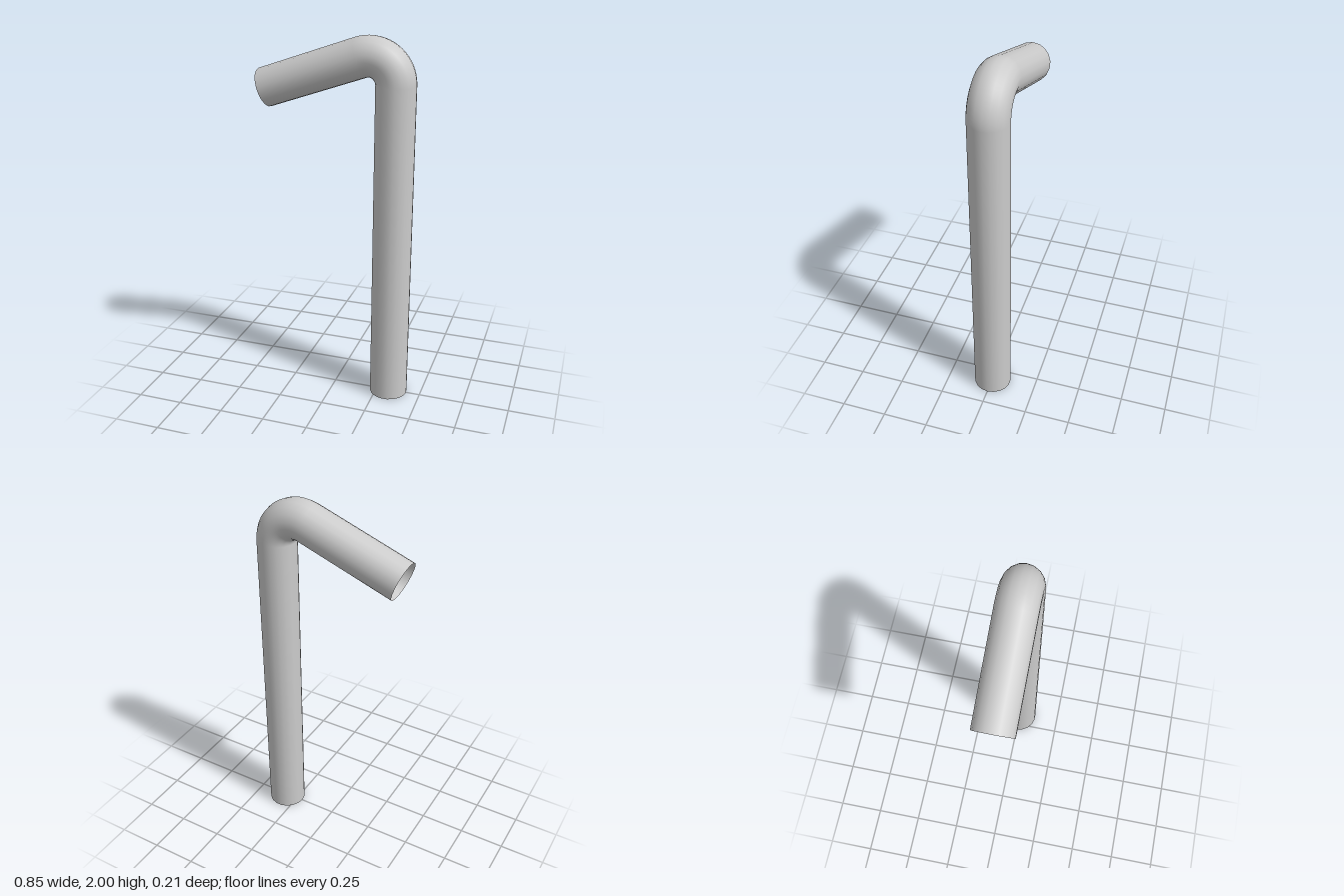
import * as THREE from 'three';

const RADIUS = 0.105; // pipe radius
const SIDES = 18;
const BEND = 0.138; // centre-line radius of the elbow
const CENTRE = new THREE.Vector2(0.18, 1.757); // centre of the elbow
const SLOPE = THREE.MathUtils.degToRad(19.3); // fall of the arm from level
const ARM_LENGTH = 0.558;

export function createModel() {
  const group = new THREE.Group();
  group.name = 'bentPipe';
  const material = new THREE.MeshStandardMaterial({ color: 0xcccccc, side: THREE.DoubleSide });

  const add = (name, geometry, x, y, turn = 0) => {
    const mesh = new THREE.Mesh(geometry, material);
    mesh.name = name;
    mesh.position.set(x, y, 0);
    mesh.rotation.z = turn;
    group.add(mesh);
  };
  // open-ended straight run, with its corners lined up with the elbow
  const pipe = (length) =>
    new THREE.CylinderGeometry(RADIUS, RADIUS, length, SIDES, 1, true, Math.PI / 2);

  // upright leg
  add('leg', pipe(CENTRE.y), CENTRE.x + BEND, CENTRE.y / 2);

  // elbow from the leg over to the arm
  add('elbow', new THREE.TorusGeometry(BEND, RADIUS, SIDES, 18, Math.PI / 2 + SLOPE), CENTRE.x, CENTRE.y);

  // short arm sloping down from the elbow
  const cos = Math.cos(SLOPE), sin = Math.sin(SLOPE);
  add('arm', pipe(ARM_LENGTH),
    CENTRE.x - BEND * sin - cos * ARM_LENGTH / 2,
    CENTRE.y + BEND * cos - sin * ARM_LENGTH / 2,
    SLOPE - Math.PI / 2);

  return group;
}
